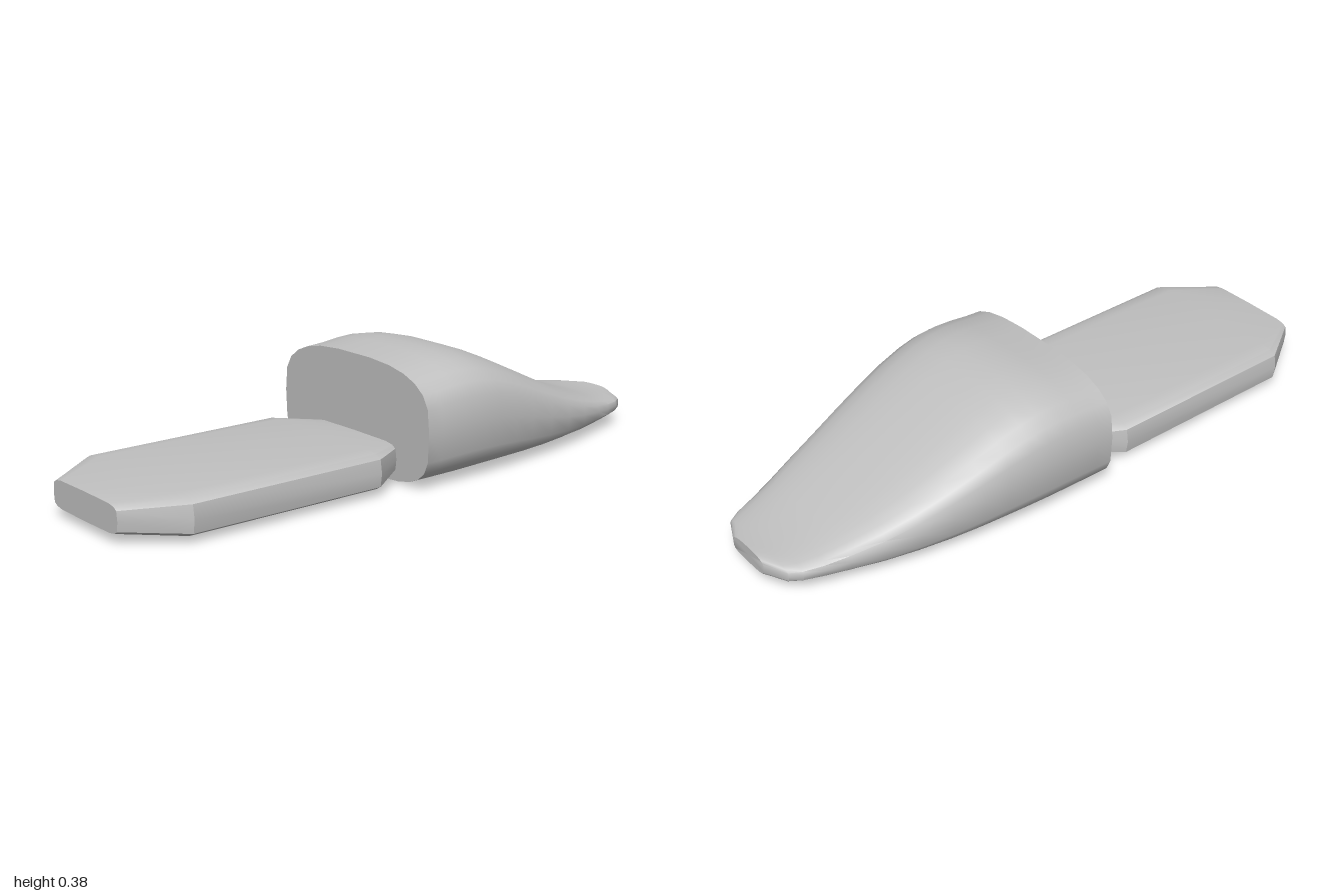
import * as THREE from 'three';
import { toCreasedNormals } from 'three/addons/utils/BufferGeometryUtils.js';

const grey = new THREE.MeshStandardMaterial({ color: 0xc0c0c0 });
grey.name = 'light grey';

const power = (v, e) => Math.sign(v) * Math.pow(Math.abs(v), e);

// Closed loft, front to back, through stations [z, halfWidth, bottom, top].
// round(up) gives the [x, y] roundness of the upper or lower half section.
function loft(stations, sides, round, crease) {
  const pos = [], index = [];
  for (const [z, w, y0, y1] of stations) {
    for (let i = 0; i < sides; i++) {
      const a = (i / sides) * Math.PI * 2;
      const [ex, ey] = round(Math.sin(a) >= 0);
      pos.push(w * power(Math.cos(a), ex),
        (y0 + y1) / 2 + ((y1 - y0) / 2) * power(Math.sin(a), ey), z);
    }
  }
  for (let s = 0; s < stations.length - 1; s++) {
    for (let i = 0; i < sides; i++) {
      const j = (i + 1) % sides;
      const a = s * sides + i, b = s * sides + j;
      index.push(a, a + sides, b, b, a + sides, b + sides);
    }
  }
  // End caps
  const last = stations.length - 1;
  for (const s of [0, last]) {
    const [z, , y0, y1] = stations[s];
    const centre = pos.length / 3;
    pos.push(0, (y0 + y1) / 2, z);
    for (let i = 0; i < sides; i++) {
      const a = s * sides + i, b = s * sides + (i + 1) % sides;
      if (s === 0) index.push(centre, a, b);
      else index.push(centre, b, a);
    }
  }
  const geo = new THREE.BufferGeometry();
  geo.setAttribute('position', new THREE.Float32BufferAttribute(pos, 3));
  geo.setIndex(index);
  return toCreasedNormals(geo, crease);
}

export function createModel() {
  const model = new THREE.Group();
  const add = (name, geo) => {
    const mesh = new THREE.Mesh(geo, grey);
    mesh.name = name;
    model.add(mesh);
  };

  // Humped body tapering to a flat rounded tail
  add('body', loft([
    [0.055, 0.348, 0, 0.363],
    [0, 0.348, 0, 0.367],
    [-0.06, 0.348, 0, 0.375],
    [-0.12, 0.347, 0, 0.379],
    [-0.18, 0.345, 0.001, 0.374],
    [-0.24, 0.34, 0.002, 0.36],
    [-0.32, 0.331, 0.004, 0.331],
    [-0.4, 0.32, 0.006, 0.294],
    [-0.5, 0.302, 0.009, 0.247],
    [-0.6, 0.28, 0.014, 0.2],
    [-0.7, 0.253, 0.019, 0.16],
    [-0.8, 0.22, 0.026, 0.126],
    [-0.87, 0.197, 0.031, 0.108],
    [-0.93, 0.175, 0.035, 0.1],
    [-0.965, 0.153, 0.038, 0.097],
    [-1, 0.08, 0.04, 0.097],
  ], 26, (up) => (up ? [0.72, 0.63] : [0.5, 0.5]), 0.7));

  // Flat tongue with chamfered ends, its rear end set into the body
  add('tongue', loft([
    [1, 0.171, 0.029, 0.116],
    [0.83, 0.285, 0.011, 0.134],
    [0.18, 0.285, 0.011, 0.134],
    [0.01, 0.171, 0.029, 0.116],
  ], 16, () => [0.3, 0.4], 0.5));

  return model;
}
